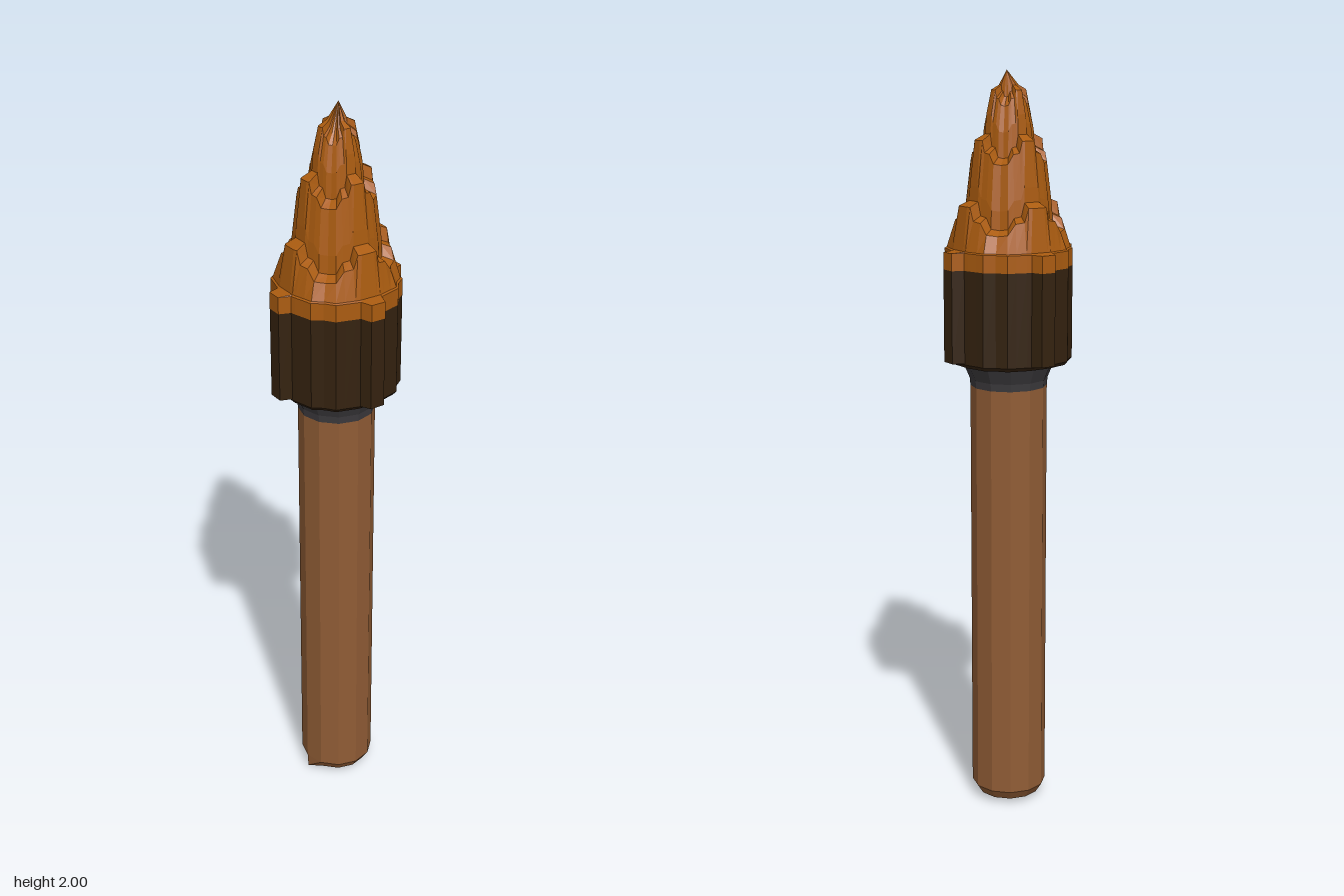
import * as THREE from 'three';

const paint = (name, color) => {
  const m = new THREE.MeshStandardMaterial({ color, flatShading: true });
  m.name = name;
  return m;
};

// One eighth of the chunky cross-section: [along axis, across axis, share of the ledge drop]
const EIGHTH = [[1, 0.13, 0], [1, 0.2, 0], [0.98, 0.28, 0.5], [0.93, 0.45, 0.55], [0.89, 0.6, 0.95], [0.723, 0.723, 1]];

// Rounded-square ring; fin pushes the axis points out, drop lowers the diagonals
function chunkyRing(y, r, fin = 0, drop = 0) {
  const quarter = EIGHTH.map(([a, b, k], i) => [a * r + (i === 0 ? fin : 0), b * r, k]);
  for (let i = EIGHTH.length - 2; i >= 0; i--) quarter.push([quarter[i][1], quarter[i][0], quarter[i][2]]);
  const ring = [];
  for (let q = 0; q < 4; q++) {
    const c = [1, 0, -1, 0][q], s = [0, 1, 0, -1][q];
    for (const [x, z, k] of quarter) ring.push(new THREE.Vector3(x * c - z * s, y - drop * k, x * s + z * c));
  }
  return ring;
}

function roundRing(y, r) {
  return Array.from({ length: 12 }, (_, i) => {
    const a = (i * Math.PI) / 6;
    return new THREE.Vector3(Math.cos(a) * r, y, Math.sin(a) * r);
  });
}

// Skin a stack of rings, with optional end points closing the bottom and top
function loft(name, material, rings, bottom, top) {
  const pts = [];
  const n = rings[0].length;
  for (let j = 0; j < n; j++) {
    const k = (j + 1) % n;
    for (let i = 0; i < rings.length - 1; i++) {
      const lo = rings[i], hi = rings[i + 1];
      pts.push(lo[j], hi[j], lo[k], lo[k], hi[j], hi[k]);
    }
    if (bottom) pts.push(rings[0][j], rings[0][k], bottom);
    if (top) pts.push(rings.at(-1)[j], top, rings.at(-1)[k]);
  }
  const g = new THREE.BufferGeometry().setFromPoints(pts);
  g.computeVertexNormals();
  const mesh = new THREE.Mesh(g, material);
  mesh.name = name;
  return mesh;
}

export function createModel() {
  const wood = paint('wood', 0x905c35);
  const iron = paint('iron', 0x3c3a3d);
  const char = paint('charred cloth', 0x34220f);
  const fire = paint('flame orange', 0xab5c10);
  const torch = new THREE.Group();
  torch.name = 'torch';

  // Handle with a chipped lower edge
  const foot = roundRing(0.014, 0.085);
  foot[6].set(-0.1, 0, 0);
  torch.add(loft('handle', wood, [foot, roundRing(0.04, 0.102), roundRing(1.18, 0.102)], new THREE.Vector3(0, 0.005, 0)));

  // Flared collar
  torch.add(loft('collar', iron, [roundRing(1.18, 0.102), roundRing(1.2, 0.104), roundRing(1.25, 0.125)]));

  // Charred head with four fins
  torch.add(loft('charredHead', char, [
    chunkyRing(1.24, 0.115), chunkyRing(1.245, 0.148), chunkyRing(1.255, 0.156),
    chunkyRing(1.258, 0.156, 0.031), chunkyRing(1.5, 0.156, 0.031),
  ], new THREE.Vector3(0, 1.24, 0)));

  // Stepped flame: [height, radius, fin, drop]
  const tiers = [
    [1.5, 0.156, 0.031, 0], [1.545, 0.156, 0.031, 0], [1.548, 0.151, 0, 0],
    [1.66, 0.135, 0.003, 0.07], [1.672, 0.107, 0, 0.07], [1.71, 0.105, 0, 0.06],
    [1.825, 0.092, 0.003, 0.06], [1.84, 0.064, 0, 0.06], [1.89, 0.06, 0, 0.045],
    [1.95, 0.047, 0.002, 0.04], [1.962, 0.026, 0, 0.03],
  ];
  torch.add(loft('flame', fire, tiers.map((t) => chunkyRing(...t)), null, new THREE.Vector3(0.015, 2, -0.014)));

  return torch;
}
